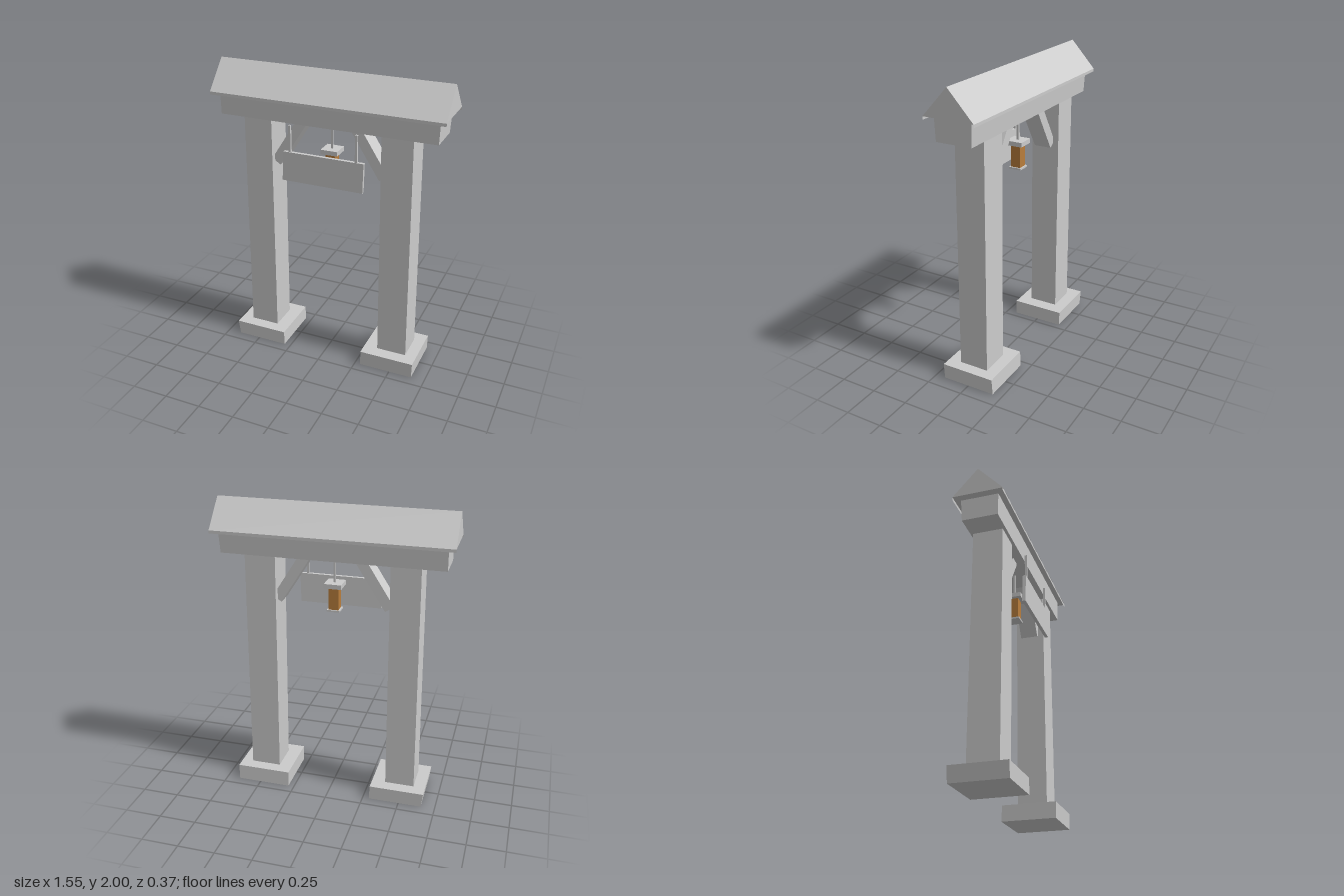
import * as THREE from 'three';

const grey = new THREE.MeshStandardMaterial({ color: 0xcccccc, flatShading: true });
const greyThin = new THREE.MeshStandardMaterial({ color: 0xcccccc, flatShading: true, side: THREE.DoubleSide });
const glow = new THREE.MeshStandardMaterial({ color: 0xb87d3c, flatShading: true });

// Hand-hewn box: bottom and top are [xMin, xMax, zMin, zMax] at heights y0 and y1
function hewnBox(name, y0, y1, bottom, top = bottom, material = grey) {
  const geometry = new THREE.BoxGeometry(1, 1, 1);
  const p = geometry.attributes.position;
  for (let i = 0; i < p.count; i++) {
    const up = p.getY(i) > 0;
    const r = up ? top : bottom;
    p.setXYZ(i, p.getX(i) < 0 ? r[0] : r[1], up ? y1 : y0, p.getZ(i) < 0 ? r[2] : r[3]);
  }
  geometry.computeVertexNormals();
  const mesh = new THREE.Mesh(geometry, material);
  mesh.name = name;
  return mesh;
}

// Square block centred on a vertical axis at (x, z)
function block(name, x, z, y0, y1, width, material = grey) {
  const h = width / 2;
  return hewnBox(name, y0, y1, [x - h, x + h, z - h, z + h], undefined, material);
}

export function createModel() {
  const gate = new THREE.Group();
  gate.name = 'gate';

  // Footings and slightly leaning pillars
  gate.add(
    hewnBox('rightFooting', 0, 0.1, [-0.655, -0.295, -0.18, 0.18], [-0.668, -0.298, -0.182, 0.18]),
    hewnBox('leftFooting', 0, 0.107, [0.29, 0.657, -0.185, 0.182], [0.29, 0.661, -0.18, 0.185]),
    hewnBox('rightPillar', 0.095, 1.67, [-0.588, -0.39, -0.1, 0.1], [-0.572, -0.38, -0.1, 0.1]),
    hewnBox('leftPillar', 0.1, 1.67, [0.382, 0.585, -0.1, 0.1], [0.366, 0.57, -0.1, 0.1])
  );

  // Lintel
  gate.add(hewnBox('lintel', 1.66, 1.814,
    [-0.73, 0.727, -0.117, 0.12], [-0.73, 0.733, -0.127, 0.123]));

  // Gabled roof
  const gable = new THREE.Shape([
    new THREE.Vector2(-0.168, 1.815),
    new THREE.Vector2(0.168, 1.815),
    new THREE.Vector2(0, 2)
  ]);
  const roofGeometry = new THREE.ExtrudeGeometry(gable, { depth: 1.555, bevelEnabled: false });
  roofGeometry.translate(0, 0, -1.555 / 2).rotateY(Math.PI / 2);
  const roof = new THREE.Mesh(roofGeometry, grey);
  roof.name = 'roof';
  gate.add(roof);

  // Thin eave strips, diagonal braces and sign hangers, mirrored
  for (const s of [-1, 1]) {
    const eave = new THREE.Mesh(new THREE.PlaneGeometry(1.555, 0.02), greyThin);
    eave.name = s > 0 ? 'frontEave' : 'backEave';
    eave.position.set(0, 1.805, s * 0.167);
    gate.add(eave);

    const brace = new THREE.Mesh(new THREE.BoxGeometry(0.068, 0.366, 0.12), grey);
    brace.name = s > 0 ? 'leftBrace' : 'rightBrace';
    brace.position.set(s * 0.275, 1.515, 0);
    brace.rotation.z = s * 0.568;
    gate.add(brace);

    gate.add(block(s > 0 ? 'leftSignHanger' : 'rightSignHanger', s * 0.225, 0.15, 1.47, 1.66, 0.015));
  }

  // Hanging sign board
  gate.add(hewnBox('signBoard', 1.285, 1.483, [-0.28, 0.272, 0.137, 0.16], [-0.268, 0.277, 0.139, 0.161]));

  // Lantern
  const lantern = new THREE.Group();
  lantern.name = 'lantern';
  lantern.add(
    block('lanternRod', 0, 0, 1.48, 1.67, 0.014),
    block('lanternCap', 0, 0, 1.46, 1.49, 0.115),
    block('lanternBody', 0, 0, 1.31, 1.46, 0.065, glow),
    block('lanternBase', 0, 0, 1.298, 1.31, 0.085)
  );
  gate.add(lantern);

  return gate;
}
